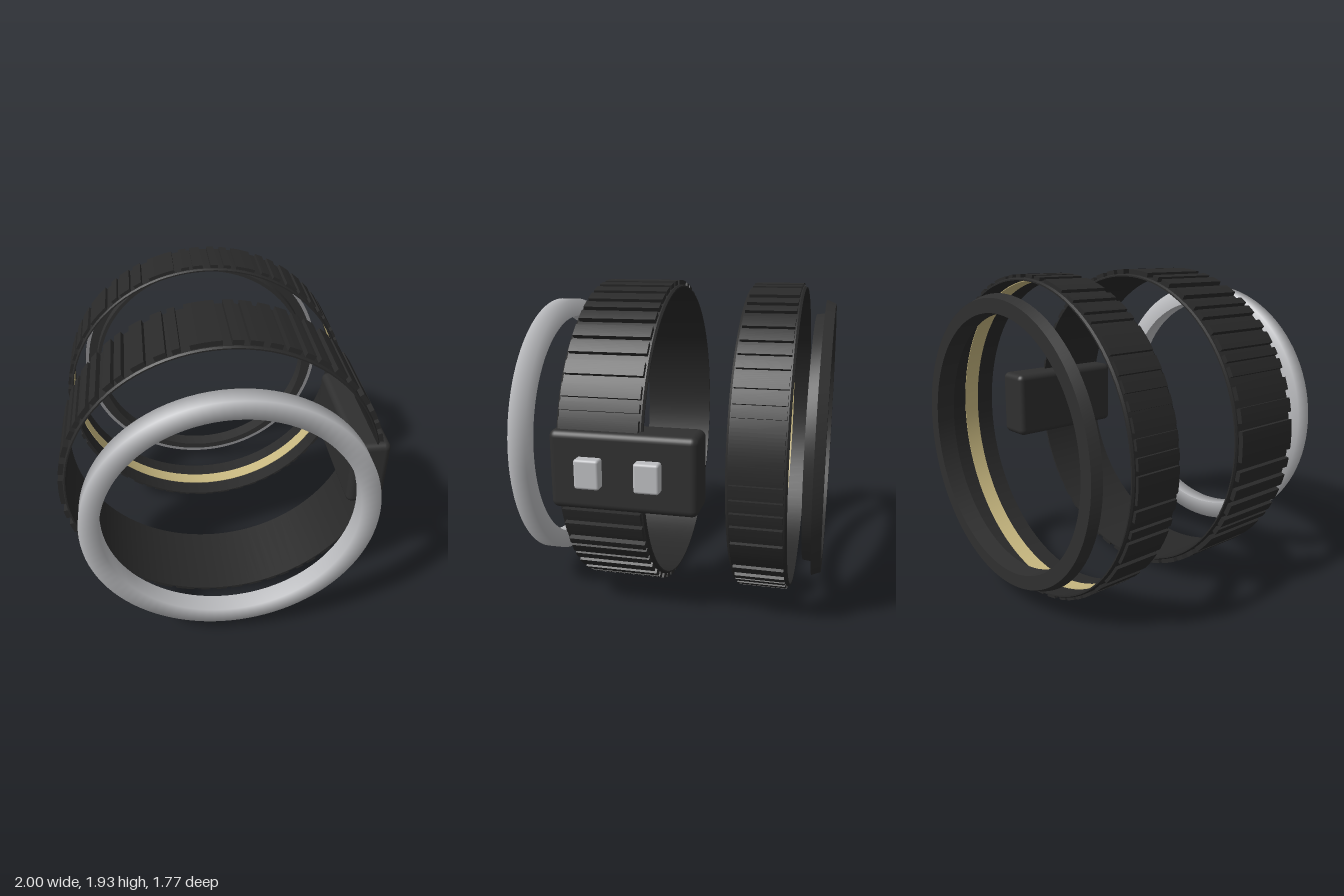
import * as THREE from 'three';
import { mergeGeometries, toCreasedNormals } from 'three/addons/utils/BufferGeometryUtils.js';
import { RoundedBoxGeometry } from 'three/addons/geometries/RoundedBoxGeometry.js';

const CX = -0.04, CY = 0.963;

function material(name, color) {
  const m = new THREE.MeshStandardMaterial({ color });
  m.name = name;
  return m;
}

function seeded(seed) {
  return () => (seed = (seed * 16807) % 2147483647) / 2147483647;
}

// Ring around the z axis; profile is [radius, z], counterclockwise and closed
function ring(profile, smooth = false) {
  const points = [...profile, profile[0]].map(([r, z]) => new THREE.Vector2(r, z));
  const geometry = new THREE.LatheGeometry(points, 96).rotateX(Math.PI / 2);
  return smooth ? geometry : toCreasedNormals(geometry, 0.5);
}

// Irregular raised ribs around a strap
function ribs(inner, outer, z0, z1, seed) {
  const random = seeded(seed), parts = [], deg = Math.PI / 180;
  let angle = 0;
  while (angle < 355) {
    const width = random() < 0.15 ? 7 + random() * 4 : 2.5 + random() * 2.5;
    const a0 = angle * deg, a1 = Math.min(angle + width, 358.5) * deg;
    const shape = new THREE.Shape();
    shape.absarc(0, 0, outer, a0, a1, false);
    shape.absarc(0, 0, inner, a1, a0, true);
    parts.push(new THREE.ExtrudeGeometry(shape, {
      depth: z1 - z0, bevelEnabled: false, curveSegments: 4,
    }).translate(0, 0, z0));
    angle += width + 1.3 + random() * 2.2;
  }
  return mergeGeometries(parts);
}

export function createModel() {
  const model = new THREE.Group();
  const black = material('black rubber', 0x292929);
  const charcoal = material('charcoal casing', 0x2f2f2f);
  const silver = material('silver metal', 0xbcbdc0);
  const grey = material('grey rim', 0x8c8d90);
  const gold = material('pale gold', 0xc8b880);

  const add = (name, geometry, mat, x = CX, y = CY, z = 0) => {
    const mesh = new THREE.Mesh(geometry, mat);
    mesh.name = name;
    mesh.position.set(x, y, z);
    model.add(mesh);
  };

  // Front bezel
  add('frontBezel', ring([[0.725, 0.78], [0.836, 0.78], [0.836, 0.887], [0.725, 0.887]], true), silver);

  // Ribbed straps
  const straps = [
    { name: 'frontStrap', z0: 0.06, z1: 0.55, outer: 0.963, seed: 4711 },
    { name: 'rearStrap', z0: -0.71, z1: -0.385, outer: 0.953, seed: 90217 },
  ];
  for (const { name, z0, z1, outer, seed } of straps) {
    add(name, ring([
      [0.92, z0], [0.928, z0], [0.935, z0 + 0.012], [0.935, z1 - 0.012], [0.928, z1], [0.92, z1],
    ]), black);
    add(name + 'Ribs', ribs(0.926, outer, z0 + 0.02, z1 - 0.02, seed), black);
  }

  // Gold lining inside the rear strap
  add('goldLining', ring([[0.916, -0.595], [0.921, -0.595], [0.921, -0.5], [0.916, -0.5]]), gold);

  // Rear flanged ring
  add('rearFlange', ring([
    [0.75, -0.887], [0.832, -0.887], [0.855, -0.832], [0.773, -0.832], [0.768, -0.775], [0.745, -0.775],
  ]), charcoal);
  add('rearFlangeRim', new THREE.RingGeometry(0.83, 0.854, 96), grey, CX, CY, -0.83);

  // Side control box with two buttons
  add('controlBox', new RoundedBoxGeometry(0.23, 0.44, 0.825, 4, 0.04), charcoal, 0.825, 0.965, 0.16);
  for (const [name, z] of [['frontButton', 0.34], ['rearButton', 0.012]]) {
    add(name, new RoundedBoxGeometry(0.09, 0.165, 0.14, 3, 0.015), silver, 0.955, 0.967, z);
  }
  return model;
}
